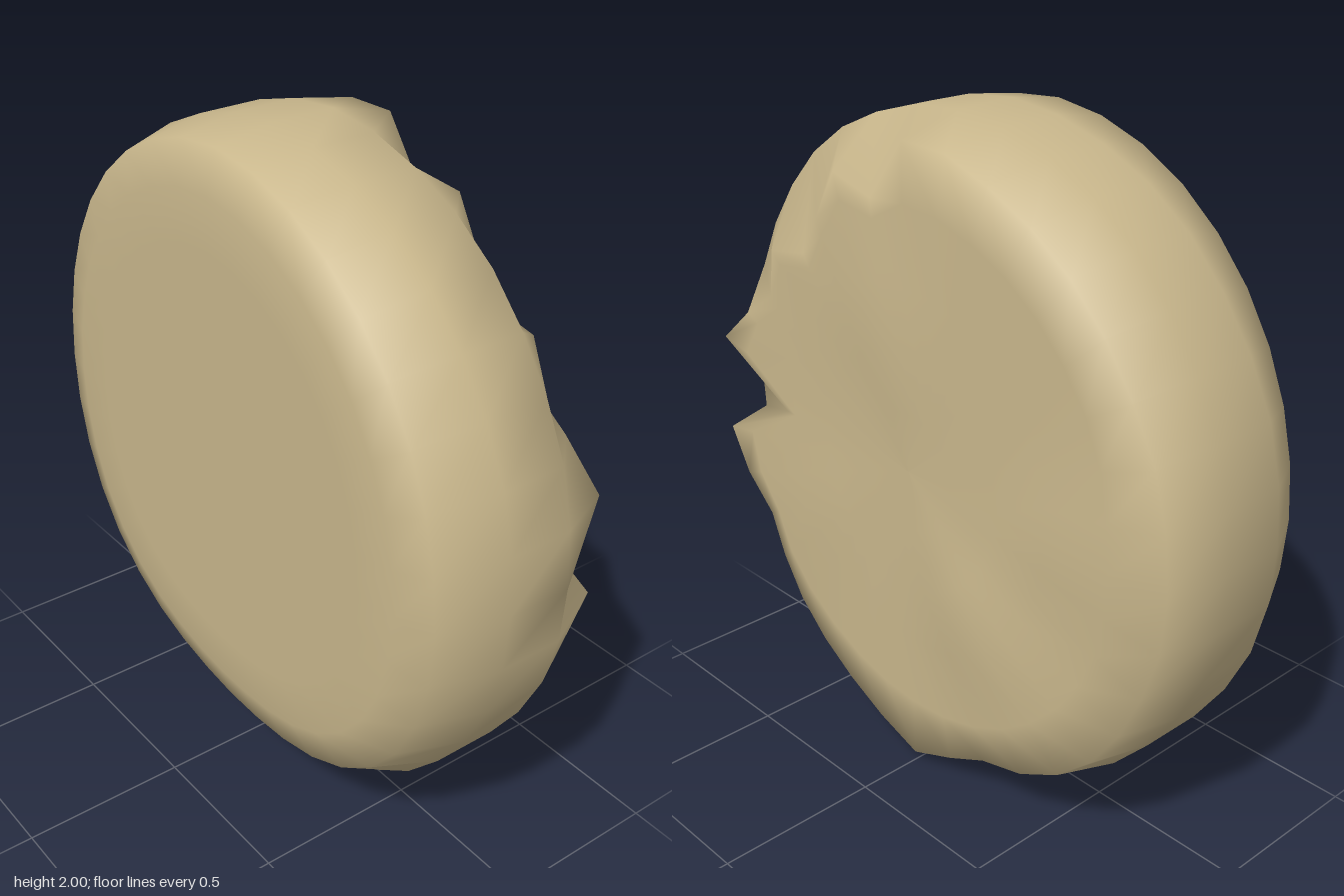
import * as THREE from 'three';

const N = 36; // one section every 10 degrees, from front (+z) up over the top

// radius of the worn rim on the +x side: notch at the front, ragged upper front
const RIM_R = [
  0.57, 0.90, 0.80, 0.72, 0.79, 0.70, 0.76, 0.86, 0.78,
  0.95, 0.96, 0.95, 0.95, 0.95, 0.95, 0.95, 0.96, 0.96,
  0.96, 0.96, 0.95, 0.95, 0.95, 0.94, 0.92, 0.89, 0.92,
  0.97, 0.93, 0.90, 0.88, 0.86, 0.83, 0.80, 0.86, 0.90,
];
// shallow swellings of the +x face: [y, z, height, width]
const BUMPS = [[0.6, -0.3, 0.036, 0.22], [1.0, -0.7, 0.028, 0.2], [1.42, 0.1, 0.02, 0.2], [0.7, 0.45, 0.015, 0.2]];

// radius of the -x rim: cut back at the bottom, softer at the rear
const rimL = (a) => 0.94
  - 0.13 * Math.max(0, -Math.sin(a)) ** 4
  - 0.03 * Math.max(0, -Math.cos(a))
  + 0.03 * Math.max(0, Math.sin(a)) ** 2;

// slightly uneven tread radius
const tread = (a) => 0.992 + 0.006 * Math.sin(a) ** 2 - 0.005 * Math.cos(5 * a) ** 2;

function faceR(y, z) {
  let x = 0.3;
  for (const [by, bz, h, w] of BUMPS) x += h * Math.exp(-((y - by) ** 2 + (z - bz) ** 2) / (w * w));
  return x;
}

// each ring gives [x, radius] for section j at angle a, from the -x centre to the +x centre
const leftFace = (f) => (j, a) => {
  const r = rimL(a) * f;
  return [-0.312 - 0.035 * r * Math.cos(a), r];
};
const rightFace = (limit) => (j, a) => {
  const r = Math.min(limit, RIM_R[j] * 0.93);
  return [faceR(1 + r * Math.sin(a), r * Math.cos(a)), r];
};
const RINGS = [
  leftFace(0), leftFace(0.4), leftFace(0.7), leftFace(0.87),
  (j, a) => [-0.28 - 0.028 * Math.cos(a), rimL(a)],
  (j, a) => [-0.1, tread(a)],
  (j, a) => [0.1, tread(a)],
  (j) => [0.298, RIM_R[j]],
  rightFace(0.78), rightFace(0.55), rightFace(0.36), rightFace(0.18), rightFace(0),
];

function buildDisc() {
  const pos = [], index = [];
  RINGS.forEach((ring, i) => {
    for (let j = 0; j < N; j++) {
      const a = (j / N) * Math.PI * 2;
      const [x, r] = ring(j, a);
      pos.push(x, 1 + r * Math.sin(a), r * Math.cos(a));
      if (i === RINGS.length - 1) continue;
      const k = (j + 1) % N, p = i * N, q = p + N;
      if (i < RINGS.length - 2) index.push(p + j, q + j, q + k);
      if (i > 0) index.push(p + j, q + k, p + k);
      if (i === RINGS.length - 2) index.push(p + j, q + j, p + k);
      if (i === RINGS.length - 2) index.splice(-6, 3);
    }
  });
  const g = new THREE.BufferGeometry();
  g.setAttribute('position', new THREE.Float32BufferAttribute(pos, 3));
  g.setIndex(index);
  g.computeVertexNormals();
  return g;
}

export function createModel() {
  const group = new THREE.Group();
  group.name = 'stoneWheel';
  const material = new THREE.MeshStandardMaterial({ color: 0xc9b78c });
  const disc = new THREE.Mesh(buildDisc(), material);
  disc.name = 'wornDisc';
  group.add(disc);
  return group;
}
